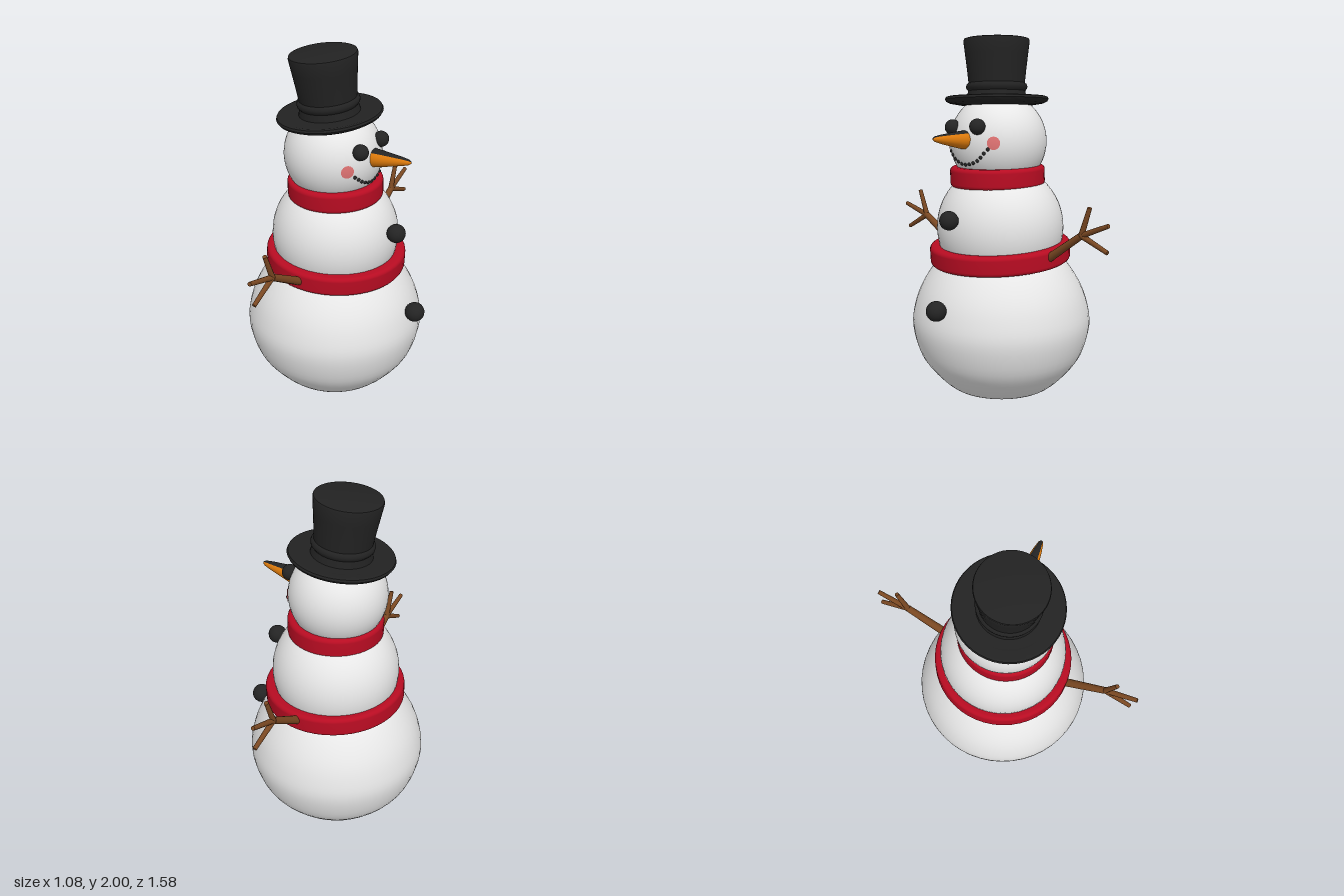
import * as THREE from 'three';
import { toCreasedNormals } from 'three/addons/utils/BufferGeometryUtils.js';

const UP = new THREE.Vector3(0, 1, 0);
const V = (x, y, z) => new THREE.Vector3(x, y, z);
const pts = (list) => list.map(([x, y]) => new THREE.Vector2(x, y));

function material(name, color, side = THREE.FrontSide) {
  const m = new THREE.MeshStandardMaterial({ color, side });
  m.name = name;
  return m;
}

export function createModel() {
  const group = new THREE.Group();
  group.name = 'snowman';
  const snow = material('snow', 0xe9e9e9);
  const cloth = material('red cloth', 0xb80c22);
  const felt = material('black felt', 0x222222);
  const coal = material('coal', 0x242424);
  const wood = material('wood', 0x7a4822);
  const carrot = material('carrot', 0xe07c0c);
  const blush = material('blush', 0xe27474);

  const add = (name, geometry, mat, x = 0, y = 0, z = 0, parent = group) => {
    const m = new THREE.Mesh(geometry, mat);
    m.name = name;
    m.position.set(x, y, z);
    parent.add(m);
    return m;
  };
  const tilt = (mesh, x, z) => mesh.quaternion.setFromUnitVectors(UP, V(x, 1, z).normalize());

  // Snow body: flattened base ball, middle ball and head
  const base = new THREE.SplineCurve(pts([
    [0.24, 0.005], [0.3, 0.03], [0.385, 0.11], [0.463, 0.22], [0.505, 0.38],
    [0.488, 0.51], [0.44, 0.63], [0.36, 0.745], [0.27, 0.82],
  ])).getPoints(32);
  add('baseBall', new THREE.LatheGeometry([...pts([[0, 0], [0.2, 0]]), ...base], 48), snow, -0.032, 0, -0.012);
  add('middleBall', new THREE.SphereGeometry(0.356, 48, 32), snow, -0.025, 0.94, -0.01);
  const headCentre = V(-0.027, 1.42, 0.008);
  const headRadius = 0.269;
  add('head', new THREE.SphereGeometry(headRadius, 48, 32), snow, ...headCentre.toArray());

  // Scarf bands: soft rectangular rings
  const band = (name, radius, height, thick, x, y, z, tx, tz) => {
    const corner = 0.022, profile = [];
    const corners = [[radius, -1, -90], [radius, 1, 0], [radius - thick, 1, 90], [radius - thick, -1, 180]];
    corners.forEach(([r, s, start], i) => {
      const cx = r + (i < 2 ? -corner : corner), cy = s * (height / 2 - corner);
      for (let k = 0; k <= 4; k++) {
        const a = THREE.MathUtils.degToRad(start + k * 22.5);
        profile.push(new THREE.Vector2(cx + corner * Math.cos(a), cy + corner * Math.sin(a)));
      }
    });
    profile.push(profile[0].clone());
    tilt(add(name, new THREE.LatheGeometry(profile, 48), cloth, x, y, z), tx, tz);
  };
  band('waistScarf', 0.395, 0.11, 0.07, -0.022, 0.803, -0.012, 0.05, 0.02);
  band('neckScarf', 0.264, 0.112, 0.07, -0.016, 1.23, 0.003, 0, 0.03);

  // Top hat with curled brim, flared crown and a ridge at the base
  const hatProfile = pts([
    [0, -0.03], [0.19, -0.03], [0.26, -0.018], [0.28, -0.008], [0.287, 0.004], [0.282, 0.016],
    [0.27, 0.02], [0.22, 0.01], [0.166, 0.012], [0.158, 0.05], [0.168, 0.062], [0.17, 0.075],
    [0.165, 0.088], [0.156, 0.094], [0.164, 0.17], [0.174, 0.25], [0.183, 0.322], [0.18, 0.333],
    [0.168, 0.337], [0, 0.337],
  ]);
  const hat = add('topHat', toCreasedNormals(new THREE.LatheGeometry(hatProfile, 48), 0.7), felt, -0.035, 1.645, 0.028);
  tilt(hat, -0.075, 0.08);

  // Eyes and buttons
  const ball = (name, r, x, y, z) => add(name, new THREE.SphereGeometry(r, 24, 16), coal, x, y, z);
  ball('leftEye', 0.043, 0.215, 1.505, 0.118);
  ball('rightEye', 0.043, 0.22, 1.52, -0.08);
  ball('upperButton', 0.052, 0.367, 1.025, -0.012);
  ball('lowerButton', 0.055, 0.487, 0.555, -0.037);

  // Point on the face of the head for a given height and depth
  const onFace = (y, z, r = headRadius) => {
    const dy = y - headCentre.y, dz = z - headCentre.z;
    return V(Math.sqrt(r * r - dy * dy - dz * dz), dy, dz).add(headCentre);
  };

  // Cheeks: thin caps lying on the head
  for (const [name, y, z] of [['leftCheek', 1.41, 0.184], ['rightCheek', 1.435, -0.162]]) {
    const cap = new THREE.SphereGeometry(headRadius + 0.004, 24, 6, 0, Math.PI * 2, 0, 0.13);
    const cheek = add(name, cap, blush, ...headCentre.toArray());
    cheek.quaternion.setFromUnitVectors(UP, onFace(y, z).sub(headCentre).normalize());
  }

  // Mouth: a row of small pebbles
  const smile = new THREE.CatmullRomCurve3([
    V(0, 1.372, 0.146), V(0, 1.33, 0.09), V(0, 1.31, 0.02), V(0, 1.335, -0.07), V(0, 1.402, -0.137),
  ]);
  smile.getSpacedPoints(11).forEach((p, i) => {
    const q = onFace(p.y, p.z);
    add('mouthPebble' + (i + 1), new THREE.SphereGeometry(0.01, 10, 8), coal, q.x, q.y, q.z);
  });

  // Carrot nose with a dark strip along the top
  const nose = new THREE.Group();
  nose.name = 'nose';
  nose.position.set(0.2, 1.442, 0.008);
  nose.rotation.z = -Math.PI / 2 + 0.09;
  group.add(nose);
  const noseProfile = pts([
    [0.046, 0], [0.051, 0.03], [0.046, 0.07], [0.036, 0.13], [0.024, 0.2], [0.015, 0.24], [0.007, 0.253], [0, 0.256],
  ]);
  const half = 0.75, top = Math.PI * 1.5;
  add('noseBody', new THREE.LatheGeometry(noseProfile, 20, top + half, Math.PI * 2 - 2 * half), carrot, 0, 0, 0, nose);
  add('noseTop', new THREE.LatheGeometry(noseProfile, 8, top - half, 2 * half), coal, 0, 0, 0, nose);

  // Stick arms: a tapered branch with three twigs, given as [z, y]
  const stick = (name, a, b, r0, r1, parent) => {
    const from = V(-0.012, a[1], a[0]), dir = V(0, b[1] - a[1], b[0] - a[0]);
    const mid = from.clone().addScaledVector(dir, 0.5);
    const s = add(name, new THREE.CylinderGeometry(r1, r0, dir.length(), 10), wood, mid.x, mid.y, mid.z, parent);
    s.quaternion.setFromUnitVectors(UP, dir.clone().normalize());
  };
  const arm = (name, shoulder, fork, twigs) => {
    const g = new THREE.Group();
    g.name = name;
    group.add(g);
    stick('branch', shoulder, fork, 0.025, 0.019, g);
    twigs.forEach((t, i) => stick('twig' + (i + 1), fork, t, 0.016, 0.012, g));
  };
  arm('leftArm', [0.32, 0.765], [0.605, 0.928], [[0.792, 0.978], [0.765, 0.838], [0.662, 1.075]]);
  arm('rightArm', [-0.34, 0.785], [-0.61, 0.975], [[-0.785, 1.05], [-0.782, 0.91], [-0.662, 1.128]]);

  return group;
}
